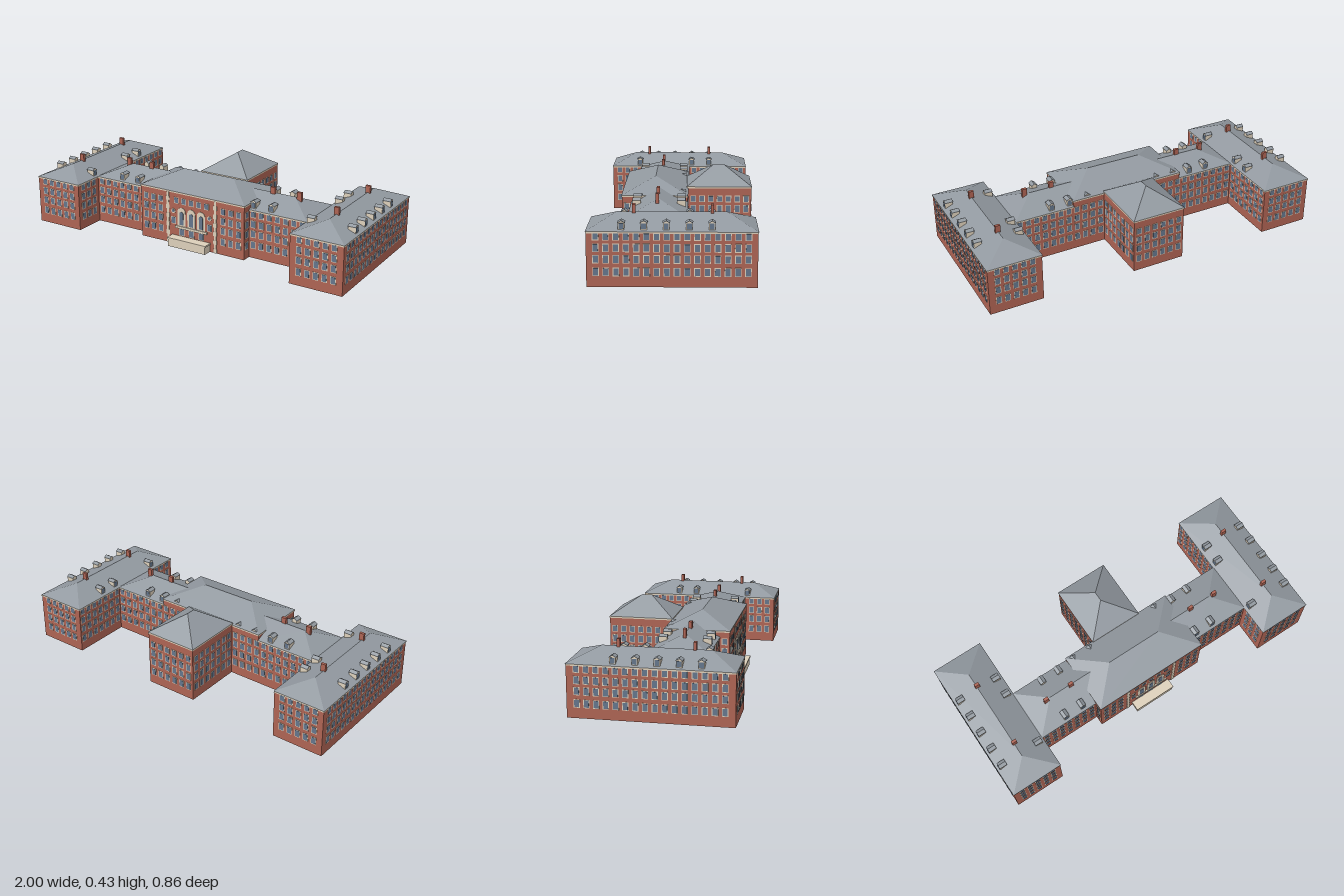
import * as THREE from 'three';
import { mergeGeometries } from 'three/addons/utils/BufferGeometryUtils.js';

const material = (name, color, side = THREE.FrontSide) => {
  const m = new THREE.MeshStandardMaterial({ color, side });
  m.name = name;
  return m;
};

export function createModel() {
  const model = new THREE.Group();
  model.name = 'building';
  const brick = material('brick', 0xad6353, THREE.DoubleSide);
  const slate = material('slate', 0x9299a0, THREE.DoubleSide);
  const stone = material('stone', 0xdccfba, THREE.DoubleSide);
  const glass = material('glass', 0x63758b);

  const add = (name, geometry, mat) => {
    const mesh = new THREE.Mesh(geometry, mat);
    mesh.name = name;
    model.add(mesh);
  };

  // Box given by its limits
  const block = (x0, x1, y0, y1, z0, z1) =>
    new THREE.BoxGeometry(x1 - x0, y1 - y0, z1 - z0)
      .translate((x0 + x1) / 2, (y0 + y1) / 2, (z0 + z1) / 2);

  // Surface made of separate flat triangles
  function faceted(points) {
    const g = new THREE.BufferGeometry().setFromPoints(points);
    g.computeVertexNormals();
    return g;
  }

  // Corners of a rectangle at height y, anticlockwise from the front right
  const corners = (x0, x1, z0, z1, y) =>
    [[x0, z1], [x1, z1], [x1, z0], [x0, z0]].map(([x, z]) => new THREE.Vector3(x, y, z));

  // Four walls without floor or ceiling
  function wallRing(x0, x1, z0, z1, y0, y1) {
    const lo = corners(x0, x1, z0, z1, y0), hi = corners(x0, x1, z0, z1, y1);
    const tris = [];
    for (let i = 0; i < 4; i++) {
      const j = (i + 1) % 4;
      tris.push(lo[i], lo[j], hi[j], lo[i], hi[j], hi[i]);
    }
    return faceted(tris);
  }

  // Sloped roof over a rectangle, with ridge points r0 and r1 as [x, z]
  function hipRoof(x0, x1, z0, z1, eave, top, r0, r1) {
    const p = new THREE.Vector3(r0[0], top, r0[1]);
    const q = new THREE.Vector3(r1[0], top, r1[1]);
    const c = corners(x0, x1, z0, z1, eave);
    const ridge = c.map(v => (v.distanceTo(p) < v.distanceTo(q) ? p : q));
    const tris = [];
    for (let i = 0; i < 4; i++) {
      const j = (i + 1) % 4;
      tris.push(c[i], c[j], ridge[j]);
      if (ridge[i] !== ridge[j]) tris.push(c[i], ridge[j], ridge[i]);
    }
    return faceted(tris);
  }

  // Walls, cornice and roof of one volume; the limits are those of the eaves
  function volume(name, x0, x1, z0, z1, eave, top, r0, r1) {
    const w = 0.003, k = 0.001;
    add(name + 'Walls', wallRing(x0 + w, x1 - w, z0 + w, z1 - w, 0, eave), brick);
    add(name + 'Cornice', wallRing(x0 + k, x1 - k, z0 + k, z1 - k, eave - 0.009, eave), stone);
    add(name + 'Roof', hipRoof(x0, x1, z0, z1, eave, top, r0, r1), slate);
  }

  volume('leftWing', 0.688, 1, -0.42, 0.425, 0.28, 0.345, [0.844, -0.27], [0.844, 0.28]);
  volume('rightWing', -1, -0.695, -0.432, 0.425, 0.28, 0.345, [-0.848, -0.28], [-0.848, 0.28]);
  volume('leftLink', 0.339, 0.694, -0.07, 0.24, 0.28, 0.345, [0.2, 0.085], [0.54, 0.085]);
  volume('rightLink', -0.701, -0.339, -0.07, 0.24, 0.28, 0.345, [-0.545, 0.085], [-0.2, 0.085]);
  volume('centre', -0.345, 0.345, -0.07, 0.295, 0.315, 0.39, [-0.165, 0.112], [0.165, 0.112]);
  volume('rearBlock', -0.163, 0.153, -0.427, -0.06, 0.325, 0.426, [-0.005, -0.27], [-0.005, -0.215]);

  // Windows: stone surrounds with a glass plate in front
  const frames = [], panes = [];
  const rows = [[0.055, 0.099], [0.12, 0.163], [0.177, 0.22], [0.236, 0.274]];
  function windowAt(matrix, x, y0, y1, w = 0.032) {
    const e = 0.0035;
    frames.push(block(x - w / 2, x + w / 2, y0, y1, -0.001, 0.0015).applyMatrix4(matrix));
    panes.push(block(x - w / 2 + e, x + w / 2 - e, y0 + e, y1 - e, 0, 0.0025).applyMatrix4(matrix));
  }
  // Window grid on a wall from a to b, seen from outside left to right
  function facade(ax, az, bx, bz, n) {
    const dx = bx - ax, dz = bz - az;
    const step = Math.min(0.0497, Math.hypot(dx, dz) / n);
    const m = new THREE.Matrix4().makeRotationY(Math.atan2(-dz, dx))
      .setPosition((ax + bx) / 2, 0, (az + bz) / 2);
    for (let i = 0; i < n; i++)
      for (const [y0, y1] of rows) windowAt(m, (i - (n - 1) / 2) * step, y0, y1);
  }
  // Wings
  facade(0.691, 0.422, 0.997, 0.422, 5);
  facade(0.997, 0.422, 0.997, -0.417, 16);
  facade(0.997, -0.417, 0.691, -0.417, 5);
  facade(0.691, -0.417, 0.691, -0.067, 7);
  facade(0.691, 0.237, 0.691, 0.422, 3);
  facade(-0.997, 0.422, -0.698, 0.422, 5);
  facade(-0.698, 0.422, -0.698, 0.237, 3);
  facade(-0.698, -0.067, -0.698, -0.429, 7);
  facade(-0.698, -0.429, -0.997, -0.429, 5);
  facade(-0.997, -0.429, -0.997, 0.422, 16);
  // Links, centre and rear block
  facade(-0.698, 0.237, -0.342, 0.237, 7);
  facade(0.342, 0.237, 0.691, 0.237, 7);
  facade(0.691, -0.067, 0.15, -0.067, 11);
  facade(-0.16, -0.067, -0.698, -0.067, 11);
  facade(-0.342, 0.292, -0.172, 0.292, 3);
  facade(0.172, 0.292, 0.342, 0.292, 3);
  facade(0.342, 0.292, 0.342, 0.237, 1);
  facade(-0.342, 0.237, -0.342, 0.292, 1);
  facade(0.15, -0.067, 0.15, -0.424, 7);
  facade(0.15, -0.424, -0.16, -0.424, 6);
  facade(-0.16, -0.424, -0.16, -0.067, 7);

  // Entrance bay: top windows, doors, arched windows, balcony and round windows
  const front = new THREE.Matrix4().makeTranslation(0, 0, 0.292);
  for (let i = -2; i <= 2; i++) windowAt(front, i * 0.05, 0.245, 0.282);
  for (const x of [-0.12, 0.12]) windowAt(front, x, 0.12, 0.163);
  const arch = (w, y0, y1) => {
    const s = new THREE.Shape();
    s.moveTo(-w, y0);
    s.lineTo(w, y0);
    s.lineTo(w, y1 - w);
    s.absarc(0, y1 - w, w, 0, Math.PI, false);
    s.lineTo(-w, y0);
    return s;
  };
  const plate = (shape, x, depth) =>
    new THREE.ExtrudeGeometry(shape, { depth, bevelEnabled: false, curveSegments: 10 }).translate(x, 0, 0.291);
  const arches = [], archGlass = [];
  for (const x of [-0.065, 0, 0.065]) {
    windowAt(front, x, 0.056, 0.1, 0.036);
    arches.push(plate(arch(0.026, 0.11, 0.225), x, 0.004));
    archGlass.push(plate(arch(0.013, 0.122, 0.2), x, 0.0055));
  }
  for (const x of [-0.12, 0.12])
    for (const [list, r, d] of [[arches, 0.014, 0.004], [archGlass, 0.009, 0.0055]])
      list.push(plate(new THREE.Shape().absarc(0, 0.198, r, 0, Math.PI * 2), x, d));
  add('archSurrounds', mergeGeometries(arches), stone);
  add('archGlass', mergeGeometries(archGlass), glass);
  add('balcony', block(-0.105, 0.105, 0.1, 0.114, 0.291, 0.3), stone);

  // Pilasters with alternating quoins
  for (const [name, x] of [['leftPilaster', 0.157], ['rightPilaster', -0.157]]) {
    const parts = [];
    for (let i = 0; i < 12; i++) {
      const w = i % 2 ? 0.007 : 0.011;
      parts.push(block(x - w, x + w, i * 0.0255, (i + 1) * 0.0255, 0.291, 0.295));
    }
    add(name, mergeGeometries(parts), stone);
  }

  // Entrance terrace with a thin top slab
  add('terraceBase', block(-0.126, 0.121, 0, 0.044, 0.29, 0.344), stone);
  add('terraceSlab', block(-0.13, 0.125, 0.044, 0.053, 0.29, 0.348), stone);

  // Chimneys
  for (const x of [-0.844, 0.844])
    for (const z of [-0.195, 0.195])
      add('chimney', block(x - 0.014, x + 0.014, 0.32, 0.383, z - 0.008, z + 0.008), brick);
  for (const x of [-0.57, -0.408, 0.408, 0.57])
    add('chimney', block(x - 0.014, x + 0.014, 0.32, 0.378, 0.081, 0.098), brick);

  // Dormers: stone body, glass, gabled slate top; each faces along its angle
  const bodies = [], tops = [];
  const outline = points => new THREE.Shape(points.map(p => new THREE.Vector2(...p)));
  const gable = outline([[-0.0155, 0], [0.0155, 0], [0.0155, 0.038], [0, 0.047], [-0.0155, 0.038]]);
  const cover = outline([[-0.0185, 0.036], [0, 0.0468], [0.0185, 0.036], [0.0185, 0.038], [0, 0.049], [-0.0185, 0.038]]);
  function dormer(x, z, angle) {
    const m = new THREE.Matrix4().makeRotationY(angle).setPosition(x, 0.283, z);
    const solid = (s, d) => new THREE.ExtrudeGeometry(s, { depth: d, bevelEnabled: false }).translate(0, 0, -d);
    bodies.push(solid(gable, 0.044).applyMatrix4(m));
    tops.push(solid(cover, 0.046).translate(0, 0, 0.0005).applyMatrix4(m));
    panes.push(block(-0.0115, 0.0115, 0.007, 0.036, -0.003, 0.0015).applyMatrix4(m));
  }
  const right = Math.PI / 2;
  for (const z of [0.25, 0.14, 0.03, -0.082, -0.193]) {
    dormer(0.985, z, right);
    dormer(-0.985, z, -right);
    if (z < 0 || z > 0.2) {
      dormer(0.706, z, -right);
      dormer(-0.71, z, right);
    }
  }
  for (const x of [-0.525, -0.415, 0.36, 0.47]) dormer(x, 0.225, 0);
  for (const x of [-0.525, -0.415, -0.305, -0.195, 0.25, 0.36, 0.47]) dormer(x, -0.057, Math.PI);

  add('dormerBodies', mergeGeometries(bodies), stone);
  add('dormerRoofs', mergeGeometries(tops), slate);
  add('windowFrames', mergeGeometries(frames), stone);
  add('windowGlass', mergeGeometries(panes), glass);
  return model;
}
